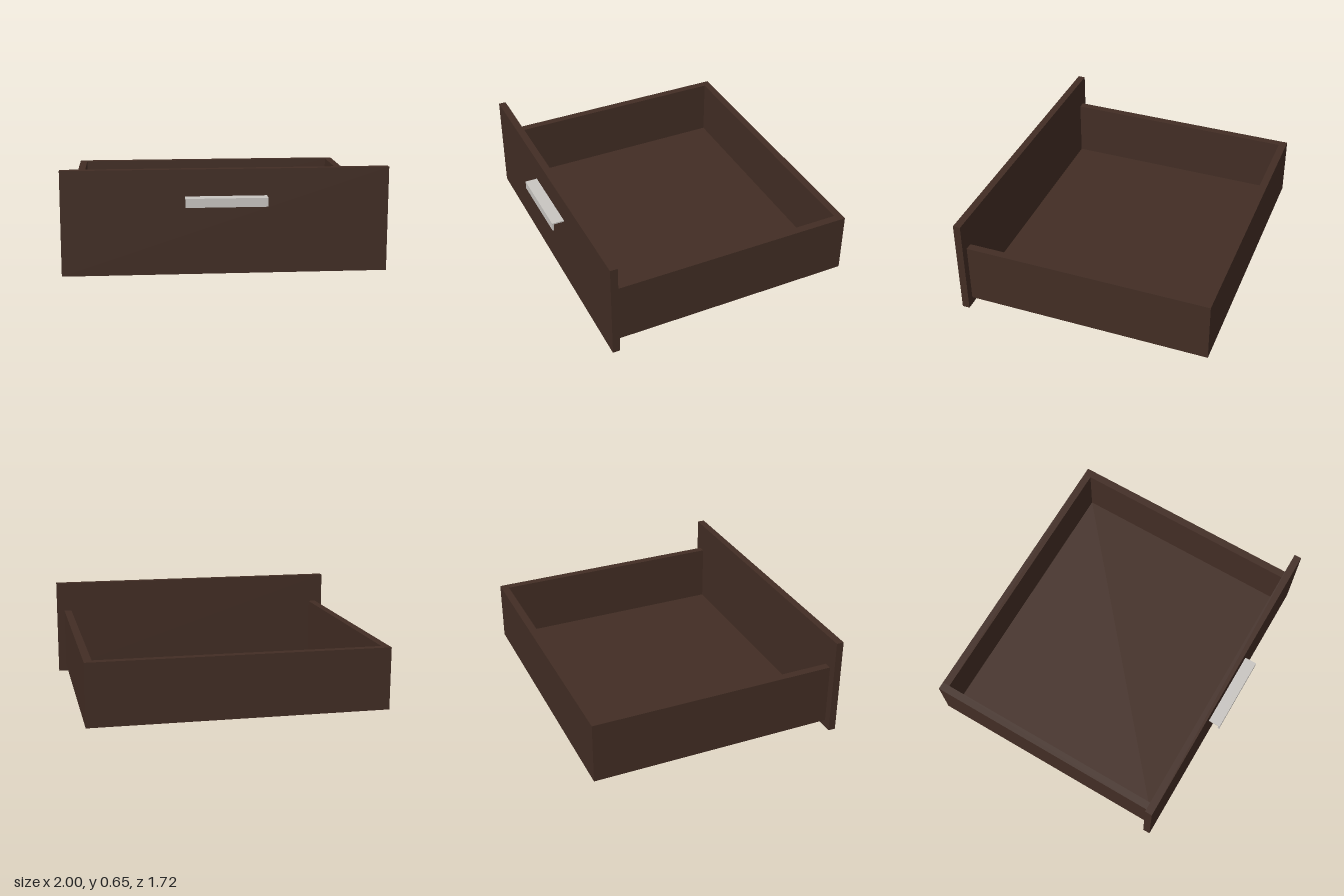
import * as THREE from 'three';

export function createModel() {
  const group = new THREE.Group();
  const wood = new THREE.MeshStandardMaterial({ color: 0x422d24 });
  wood.name = 'dark brown wood';
  const metal = new THREE.MeshStandardMaterial({ color: 0xc8c5c1 });
  metal.name = 'light grey metal';

  // Box part given by its lower and upper corners
  function addBox(name, material, [x0, y0, z0], [x1, y1, z1]) {
    const mesh = new THREE.Mesh(new THREE.BoxGeometry(x1 - x0, y1 - y0, z1 - z0), material);
    mesh.position.set((x0 + x1) / 2, (y0 + y1) / 2, (z0 + z1) / 2);
    mesh.name = name;
    group.add(mesh);
  }

  const back = -0.86, panelBack = 0.733, panelFront = 0.781, wall = 0.05;
  const bottom = 0.05, rim = 0.45, floorTop = 0.067;

  // Front panel, wider and taller than the tray
  addBox('frontPanel', wood, [-1, 0, panelBack], [1, 0.65, panelFront]);

  // Tray: sides, back and floor
  addBox('leftSide', wood, [0.95 - wall, bottom, back], [0.95, rim, panelBack]);
  addBox('rightSide', wood, [-0.95, bottom, back], [-0.95 + wall, rim, panelBack]);
  addBox('backWall', wood, [-0.95 + wall, bottom, back], [0.95 - wall, rim, back + wall]);
  addBox('floor', wood, [-0.95 + wall, bottom, back + wall], [0.95 - wall, floorTop, panelBack]);

  // Handle: bent strip with a downturned lip, extruded across the panel
  const profile = new THREE.Shape();
  const points = [[panelFront, 0.485], [0.86, 0.485], [0.86, 0.43], [0.85, 0.43], [0.85, 0.476], [panelFront, 0.476]];
  profile.setFromPoints(points.map(([z, y]) => new THREE.Vector2(-z, y)));
  const handleGeometry = new THREE.ExtrudeGeometry(profile, { depth: 0.5, bevelEnabled: false });
  handleGeometry.translate(0, 0, -0.25).rotateY(Math.PI / 2);
  const handle = new THREE.Mesh(handleGeometry, metal);
  handle.name = 'handle';
  group.add(handle);

  return group;
}
